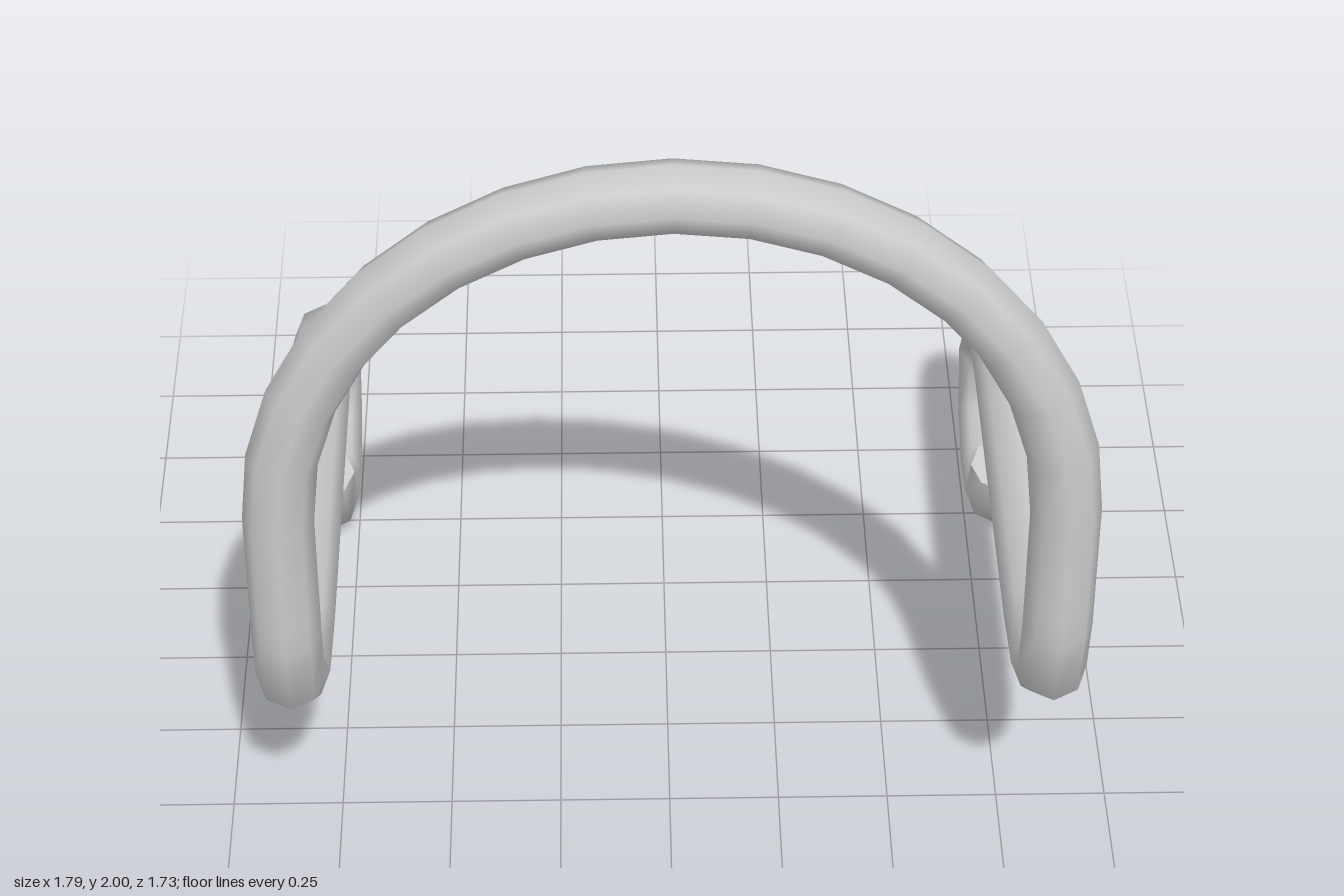
import * as THREE from 'three';

const RADIUS = 0.075;
const SIDES = 8;
const material = new THREE.MeshStandardMaterial({ color: 0xcccccc });
const V = (x, y, z) => new THREE.Vector3(x, y, z);

// Sweeps a round section along a polyline with mitred joints; capNormal closes the far end.
function sweep(name, path, startAxis, capNormal) {
  const last = path.length - 1;
  const dirs = path.slice(1).map((p, i) => p.clone().sub(path[i]).normalize());
  const v = dirs[0].clone().cross(startAxis);
  let ring = [];
  for (let j = 0; j <= SIDES; j++) {
    const a = (j / SIDES) * Math.PI * 2;
    ring.push(path[0].clone()
      .addScaledVector(startAxis, Math.cos(a) * RADIUS)
      .addScaledVector(v, Math.sin(a) * RADIUS));
  }
  const positions = [], normals = [], index = [];
  const put = (p, n) => {
    positions.push(p.x, p.y, p.z);
    normals.push(n.x, n.y, n.z);
  };
  path.forEach((p, i) => {
    const before = dirs[Math.max(i - 1, 0)];
    const plane = before.clone().add(dirs[Math.min(i, last - 1)]).normalize();
    if (i === last && capNormal) plane.copy(capNormal);
    // Slide the previous ring along its segment onto the mitre plane
    if (i > 0) {
      ring = ring.map((q) => q.clone().addScaledVector(before,
        p.clone().sub(q).dot(plane) / before.dot(plane)));
    }
    ring.forEach((q) => put(q, q.clone().sub(p).normalize()));
    if (i === last) return;
    for (let j = 0; j < SIDES; j++) {
      const a = i * (SIDES + 1) + j, b = a + SIDES + 1;
      index.push(a, a + 1, b + 1, a, b + 1, b);
    }
  });
  if (capNormal) {
    const c = positions.length / 3;
    put(path[last], capNormal);
    ring.forEach((q) => put(q, capNormal));
    for (let j = 1; j <= SIDES; j++) index.push(c, c + j, c + j + 1);
  }
  const geometry = new THREE.BufferGeometry();
  geometry.setAttribute('position', new THREE.Float32BufferAttribute(positions, 3));
  geometry.setAttribute('normal', new THREE.Float32BufferAttribute(normals, 3));
  geometry.setIndex(index);
  const mesh = new THREE.Mesh(geometry, material);
  mesh.name = name;
  return mesh;
}

export function createModel() {
  const group = new THREE.Group();
  group.name = 'bentRodHook';
  const halfWidth = 0.822, frontZ = 0.79, springY = 1.103, joinY = 0.85;

  // Upright arch: two straight posts joined by a half circle
  const arch = [V(halfWidth, joinY, frontZ)];
  for (let i = 0; i <= 16; i++) {
    const a = (i / 16) * Math.PI;
    arch.push(V(Math.cos(a) * halfWidth, springY + Math.sin(a) * halfWidth, frontZ));
  }
  arch.push(V(-halfWidth, joinY, frontZ));
  group.add(sweep('arch', arch, V(0, 0, 1)));

  // Side arms: bend backwards, run level, then curl under into a hook (z, y)
  const arm = [
    [frontZ, joinY], [frontZ, 0.79], [0.755, 0.635], [0.64, 0.54], [0.455, 0.515],
    [-0.4, 0.515], [-0.565, 0.49], [-0.695, 0.43], [-0.785, 0.3], [-0.73, 0.155],
    [-0.6, 0.08], [-0.465, 0.105], [-0.37, 0.265],
  ];
  const tipNormal = V(0, 0.14, 0.03).normalize();
  for (const [name, x] of [['leftArm', halfWidth], ['rightArm', -halfWidth]]) {
    group.add(sweep(name, arm.map(([z, y]) => V(x, y, z)), V(1, 0, 0), tipNormal));
  }
  return group;
}
